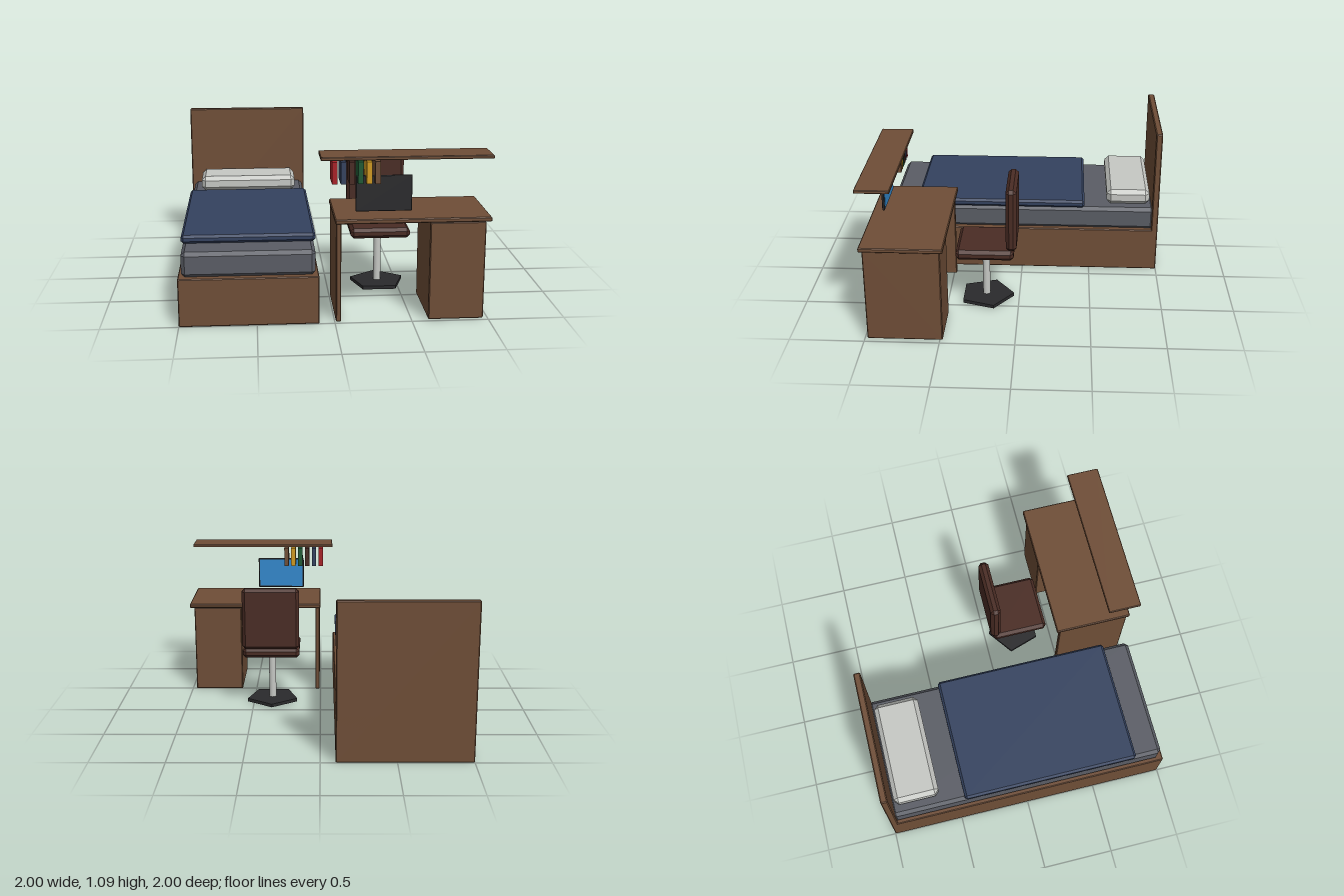
import * as THREE from 'three';
import { ConvexGeometry } from 'three/addons/geometries/ConvexGeometry.js';

const mat = (name, color, flatShading = false) => {
  const m = new THREE.MeshStandardMaterial({ color, flatShading });
  m.name = name;
  return m;
};

// Box between two corners with every edge chamfered by c
function chamferBox(x0, x1, y0, y1, z0, z1, c) {
  const h = [(x1 - x0) / 2, (y1 - y0) / 2, (z1 - z0) / 2];
  const pts = [];
  for (const sx of [-1, 1]) for (const sy of [-1, 1]) for (const sz of [-1, 1]) {
    for (let axis = 0; axis < 3; axis++) {
      // each corner becomes a small triangle, one point per face
      const p = h.map((v, i) => (i === axis ? v : v - c));
      pts.push(new THREE.Vector3(p[0] * sx, p[1] * sy, p[2] * sz));
    }
  }
  return new ConvexGeometry(pts).translate((x0 + x1) / 2, (y0 + y1) / 2, (z0 + z1) / 2);
}

export function createModel() {
  const wood = mat('wood', 0x6f4e37);
  const grey = mat('mattress grey', 0x5a5d65);
  const navy = mat('navy', 0x34425f);
  const pale = mat('pale grey', 0xc6c8c4);
  const leather = mat('dark brown leather', 0x4a2c24);
  const black = mat('black', 0x2a2a2c);
  const blue = mat('screen blue', 0x3388cc);
  const red = mat('red', 0xa82026);
  const green = mat('green', 0x1f5a35);
  const yellow = mat('yellow', 0xd09a20);

  const model = new THREE.Group();
  model.name = 'bedroomSet';
  const group = (name) => {
    const g = new THREE.Group();
    g.name = name;
    model.add(g);
    return g;
  };
  const add = (parent, name, geometry, material) => {
    const m = new THREE.Mesh(geometry, material);
    m.name = name;
    parent.add(m);
    return m;
  };
  const block = (parent, name, material, c, ...b) => add(parent, name, chamferBox(...b, c), material);

  // Bed
  const bed = group('bed');
  block(bed, 'bedBase', wood, 0.006, -1, -0.1, 0, 0.32, -1, 1);
  block(bed, 'headboard', wood, 0.007, -1, -0.1, 0.005, 1.075, -1, -0.953);
  block(bed, 'mattress', grey, 0.024, -0.977, -0.121, 0.318, 0.484, -0.97, 0.97);
  block(bed, 'blanket', navy, 0.016, -0.985, -0.111, 0.485, 0.54, -0.457, 0.777);
  block(bed, 'pillow', pale, 0.03, -0.91, -0.187, 0.483, 0.595, -0.937, -0.622);

  // Desk
  const desk = group('desk');
  block(desk, 'deskTop', wood, 0.006, 0, 1, 0.66, 0.69, 0.458, 1);
  block(desk, 'sidePanel', wood, 0.005, 0.007, 0.04, 0.003, 0.66, 0.48, 0.98);
  block(desk, 'drawerUnit', wood, 0.006, 0.608, 0.968, 0.003, 0.656, 0.48, 0.982);

  // Monitor, with its screen towards the chair
  const monitor = group('monitor');
  block(monitor, 'monitorCase', black, 0.003, 0.135, 0.495, 0.722, 0.955, 0.905, 0.922);
  add(monitor, 'screen', new THREE.BoxGeometry(0.34, 0.213, 0.004).translate(0.315, 0.8385, 0.904), blue);

  // Shelf with a row of books beneath
  const shelf = group('bookshelf');
  block(shelf, 'shelfBoard', wood, 0.004, -0.092, 0.998, 1.07, 1.092, 0.775, 1);
  [red, navy, leather, green, yellow, wood].forEach((m, i) => {
    const x = -0.002 + i * 0.0543;
    add(shelf, 'book' + (i + 1), new THREE.BoxGeometry(0.034, 0.142, 0.16).translate(x, 0.985, 0.895), m);
  });

  // Desk chair
  const chair = group('chair');
  block(chair, 'seat', leather, 0.022, 0.155, 0.567, 0.387, 0.458, 0.03, 0.428);
  block(chair, 'backrest', leather, 0.022, 0.155, 0.567, 0.46, 0.91, 0.01, 0.083);
  add(chair, 'post', new THREE.CylinderGeometry(0.026, 0.026, 0.36, 16).translate(0.361, 0.208, 0.232), pale);
  add(chair, 'chairFoot',
    new THREE.CylinderGeometry(0.195, 0.195, 0.024, 5).toNonIndexed().rotateY(Math.PI).translate(0.361, 0.018, 0.232),
    black).geometry.computeVertexNormals();

  return model;
}
